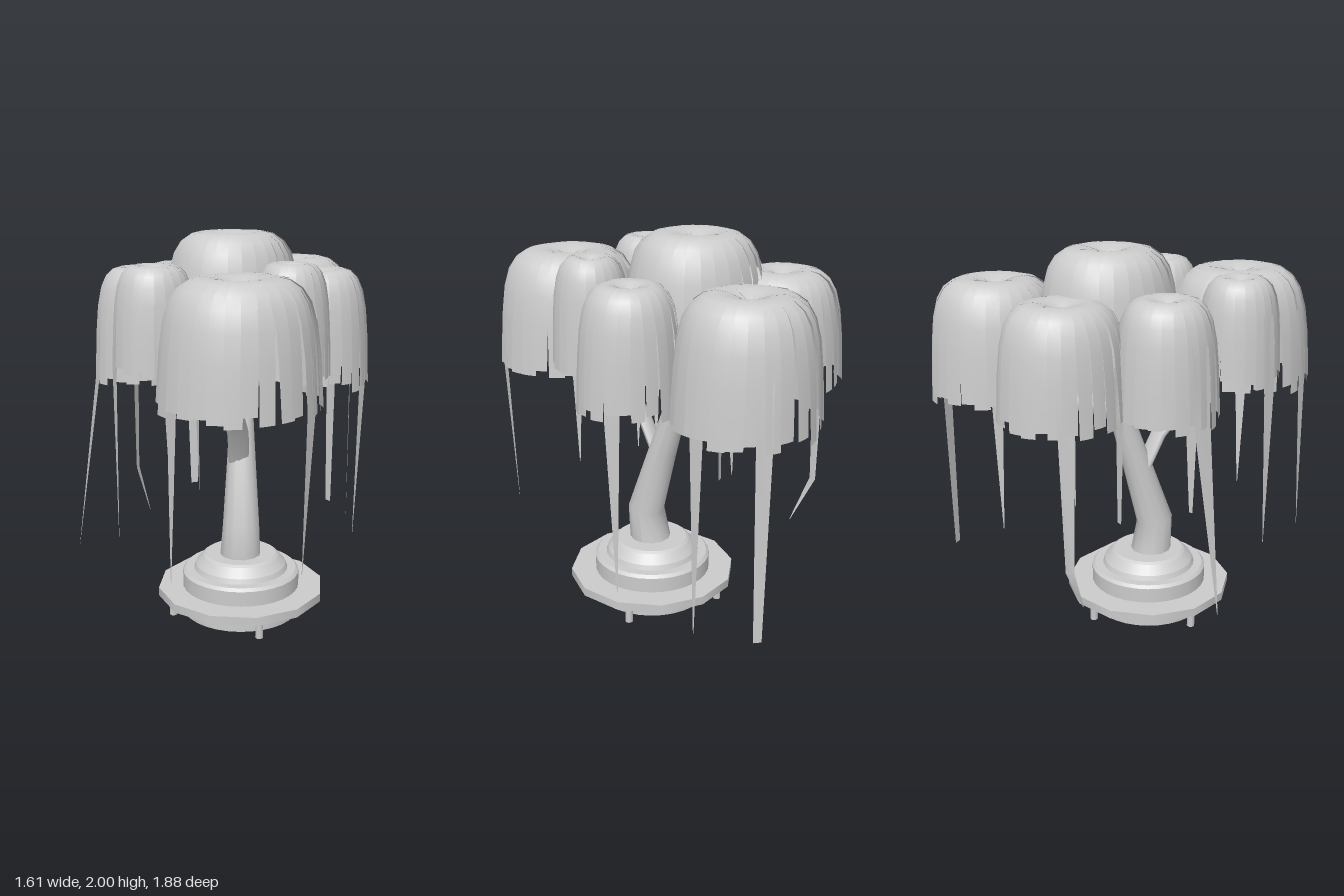
import * as THREE from 'three';
import { mergeGeometries } from 'three/addons/utils/BufferGeometryUtils.js';

const solid = new THREE.MeshStandardMaterial({ color: 0xcccccc });
const leafy = new THREE.MeshStandardMaterial({ color: 0xcccccc, side: THREE.DoubleSide });
const V = (x, y, z) => new THREE.Vector3(x, y, z);

// Small seeded random, 0..1
let seed = 7;
const rand = () => (seed = (seed * 16807) % 2147483647) / 2147483647;

function add(parent, name, geometry, material = solid) {
  const mesh = new THREE.Mesh(geometry, material);
  mesh.name = name;
  parent.add(mesh);
  return mesh;
}

// Skin through rows of points
function skin(rows) {
  const cols = rows[0].length, index = [];
  for (let i = 0; i < rows.length - 1; i++) {
    for (let j = 0; j < cols - 1; j++) {
      const a = i * cols + j, c = a + cols;
      index.push(a, a + 1, c, a + 1, c + 1, c);
    }
  }
  const g = new THREE.BufferGeometry().setFromPoints(rows.flat());
  g.setIndex(index);
  g.computeVertexNormals();
  return g;
}

// Tapered limb through stations [x, y, z, radius]; flat squashes it front to back
function limb(stations, flat = 1, sides = 12) {
  const pts = stations.map(s => V(s[0], s[1], s[2]));
  return skin(pts.map((p, i) => {
    const t = pts[Math.min(i + 1, pts.length - 1)].clone().sub(pts[Math.max(i - 1, 0)]).normalize();
    const u = V(1, 0, 0).addScaledVector(t, -t.x).normalize();
    const v = t.clone().cross(u);
    return Array.from({ length: sides + 1 }, (_, j) => {
      const a = j / sides * Math.PI * 2, r = stations[i][3];
      return p.clone().addScaledVector(u, Math.cos(a) * r).addScaledVector(v, Math.sin(a) * r * flat);
    });
  }));
}

// Frond profile: fraction of radius, fraction of drop
const PROFILE = [[0.01, 0.1], [0.12, 0.05], [0.28, 0.015], [0.45, 0], [0.6, 0.02], [0.74, 0.08],
  [0.84, 0.18], [0.91, 0.34], [0.955, 0.57], [0.98, 0.8], [1, 1]];

// Mop of overlapping drooping fronds with a dimpled crown
function mop({ x, z, r, top, hem, count }) {
  const fronds = [], step = Math.PI * 2 / count, start = rand() * step;
  for (let k = 0; k < count; k++) {
    const mid = start + (k + 0.5) * step, size = 0.98 + rand() * 0.025;
    const drop = (top - hem) * (0.95 + rand() * 0.1), lift = rand() * 0.01;
    const lean = (rand() - 0.5) * 0.08;
    fronds.push(skin(PROFILE.map(([f, d]) => [-1, 0, 1].map(s => {
      const half = step * (0.55 - 0.05 * d);
      const a = mid + s * half + lean * d;
      const rad = r * f * size * (1 + 0.018 * s * f * f);
      return V(x + Math.cos(a) * rad, top - lift * f * f - drop * d, z + Math.sin(a) * rad);
    }))));
  }
  return mergeGeometries(fronds);
}

// Long hanging strand: path [x, y, z] below the mop, tapering to endWidth
function strand(m, path, endWidth, width) {
  const first = path[0];
  const a = Math.atan2(first[2] - m.z, first[0] - m.x);
  const c = Math.cos(a), s = Math.sin(a), h = m.top - m.hem;
  const at = (f, d) => V(m.x + c * m.r * f, m.top - h * d, m.z + s * m.r * f);
  const pts = [at(0.88, 0.34), at(0.94, 0.6), at(0.98, 1), ...path.map(p => V(...p))];
  return skin(pts.map((p, i) => {
    const k = Math.max(0, (i - 2) / (pts.length - 3));
    const w = THREE.MathUtils.lerp(width, endWidth, k) / 2;
    return [-1, 1].map(e => p.clone().add(V(-s * w * e, 0, c * w * e)));
  }));
}

const MOPS = [
  { name: 'centreMop', x: 0.04, z: -0.175, r: 0.355, top: 2.0, hem: 1.43, count: 28, strands: [] },
  { name: 'frontMop', x: -0.05, z: 0.56, r: 0.38, top: 1.85, hem: 1.28, count: 30, strands: [
    { path: [[-0.4, 0.48, 0.73]] }, { path: [[0.2, 0.5, 0.79]] }] },
  { name: 'backRightMop', x: -0.16, z: -0.55, r: 0.315, top: 1.81, hem: 1.28, count: 28, strands: [
    { path: [[-0.44, 0.6, -0.69], [-0.38, 0.36, -0.59]] },
    { path: [[-0.16, 0.63, -0.25]], end: 0.035 }] },
  { name: 'backLeftMop', x: 0.46, z: -0.59, r: 0.345, top: 1.83, hem: 1.24, count: 28, strands: [
    { path: [[0.75, 0.29, -0.77]], end: 0.04 }, { path: [[0.78, 0.28, -0.47]] }] },
  { name: 'rightMop', x: -0.43, z: -0.15, r: 0.25, top: 1.83, hem: 1.28, count: 24, strands: [
    { path: [[-0.8, 0.37, -0.1]], width: 0.1 }, { path: [[-0.32, 0.67, 0.08]], end: 0.02 }] },
  { name: 'leftMop', x: 0.475, z: -0.02, r: 0.25, top: 1.82, hem: 1.25, count: 24, strands: [
    { path: [[0.69, 0.35, -0.04]] }] },
  { name: 'frontRightMop', x: -0.41, z: 0.28, r: 0.205, top: 1.88, hem: 1.4, count: 22, strands: [
    { path: [[-0.61, 0.56, 0.32]] }, { path: [[-0.2, 0.73, 0.25]] }] },
  { name: 'frontLeftMop', x: 0.245, z: 0.29, r: 0.195, top: 1.88, hem: 1.34, count: 22, strands: [] },
];

export function createModel() {
  seed = 7;
  const model = new THREE.Group();
  model.name = 'weepingTree';

  // Round stepped stand, each band turned separately to keep its edges sharp
  const stand = new THREE.Group();
  stand.name = 'stand';
  stand.position.set(0.045, 0, 0.06);
  model.add(stand);
  const steps = [[0.31, 0.015], [0.31, 0.235], [0.295, 0.25], [0.25, 0.25], [0.24, 0.275],
    [0.2, 0.32], [0.185, 0.33], [0, 0.33]].map(p => new THREE.Vector2(...p));
  const bands = steps.slice(1).map((p, i) => new THREE.LatheGeometry([steps[i], p], 32));
  add(stand, 'drum', mergeGeometries(bands));

  // Underside ring with a six-sided recess
  const ring = new THREE.Shape().absarc(0, 0, 0.308, 0, Math.PI * 2);
  const hole = new THREE.Path();
  hole.setFromPoints(Array.from({ length: 6 }, (_, i) =>
    new THREE.Vector2(Math.cos(i * Math.PI / 3) * 0.21, Math.sin(i * Math.PI / 3) * 0.21)));
  ring.holes.push(hole);
  const under = new THREE.ExtrudeGeometry(ring, { depth: 0.15, bevelEnabled: false, curveSegments: 16 });
  add(stand, 'undersideRing', under.rotateX(-Math.PI / 2).translate(0, 0.015, 0));
  add(stand, 'recessRim', new THREE.CylinderGeometry(0.215, 0.215, 0.02, 6, 1, true)
    .rotateY(Math.PI / 6).translate(0, 0.01, 0), leafy);
  add(stand, 'recessRoof', new THREE.CircleGeometry(0.23, 6).rotateX(Math.PI / 2).translate(0, 0.16, 0));

  // Wide faceted plate on four pegs
  add(stand, 'plate', new THREE.CylinderGeometry(0.442, 0.442, 0.045, 12).translate(0, 0.133, 0));
  for (let i = 0; i < 4; i++) {
    const a = i * Math.PI / 2 - 0.08;
    add(stand, 'peg', new THREE.CylinderGeometry(0.02, 0.02, 0.11, 10))
      .position.set(Math.cos(a) * 0.37, 0.065, Math.sin(a) * 0.37);
  }

  // Bent trunk with a back branch and a flattened front branch
  add(model, 'trunk', limb([[0.04, 0.3, 0.07, 0.11], [0.04, 0.5, 0.095, 0.097], [0.06, 0.85, -0.01, 0.075],
    [0.075, 1.14, -0.1, 0.06], [0.075, 1.3, -0.13, 0.055], [0.05, 1.8, -0.15, 0.02]]));
  add(model, 'backBranch', limb([[0.07, 1.12, -0.08, 0.05], [0.13, 1.18, -0.2, 0.05],
    [0.28, 1.23, -0.47, 0.045], [0.42, 1.6, -0.58, 0.02]]));
  add(model, 'frontBranch', limb([[0.04, 0.83, 0.03, 0.055], [0.02, 1.0, 0.11, 0.055],
    [-0.02, 1.13, 0.21, 0.05], [-0.05, 1.33, 0.35, 0.045], [-0.06, 1.65, 0.46, 0.02]], 0.5));

  // Foliage
  for (const m of MOPS) {
    const group = new THREE.Group();
    group.name = m.name;
    model.add(group);
    add(group, 'fronds', mop(m), leafy);
    for (const { path, end = 0.004, width = 0.075 } of m.strands) {
      add(group, 'hangingStrand', strand(m, path, end, width), leafy);
    }
  }
  return model;
}
